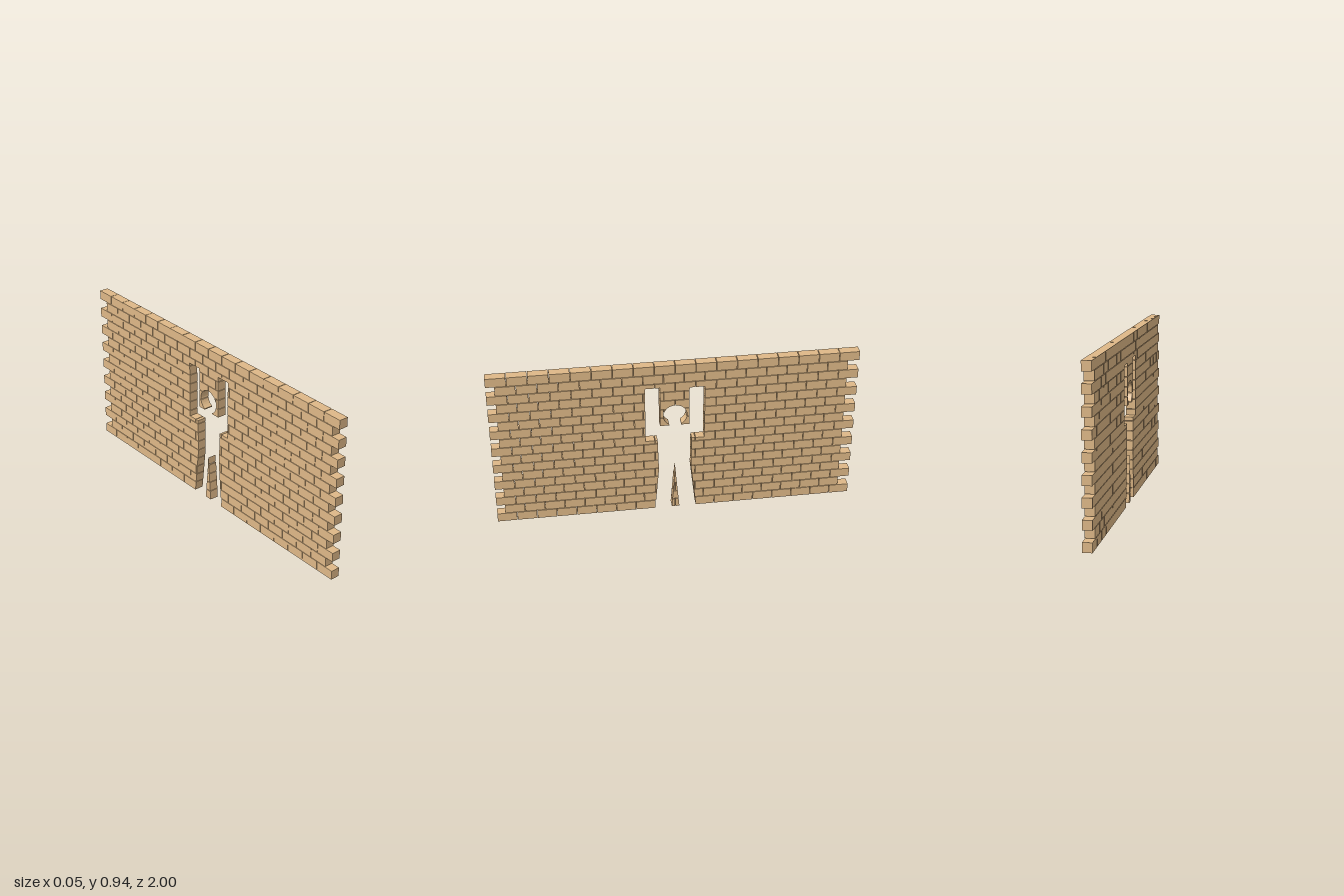
import * as THREE from 'three';

const DEPTH = 0.052, BRICK_H = 0.052, ROW = 0.0552, GAP = 0.003, ROWS = 17;
const HEAD_Y = 0.618, HEAD_R = 0.065, NECK = 0.033;
const CROTCH = 0.265, HIP = 0.462, SHOULDER = 0.556, HEAD_TOP = HEAD_Y + HEAD_R;
const ARM_L = 0.80, ARM_R = 0.79;
const lerp = THREE.MathUtils.lerp;

// Heights at which the outline of the opening changes
const levels = [CROTCH, HIP, SHOULDER, ARM_R, ARM_L];
for (let i = 0; i <= 18; i++) {
  const y = HEAD_Y - HEAD_R * Math.cos(Math.PI * i / 18);
  if (y > SHOULDER) levels.push(y);
}
levels.sort((a, b) => a - b);

// Open spans [zMin, zMax] of the figure-shaped gap at height y, within the band around mid
function openings(y, mid) {
  if (mid < CROTCH) {
    const t = 1 - y / CROTCH;
    return [[lerp(-0.089, -0.118, t), -0.024 * t], [0.019 * t, lerp(0.091, 0.113, t)]];
  }
  if (mid < HIP) {
    const t = (y - CROTCH) / (HIP - CROTCH);
    return [[lerp(-0.089, -0.091, t), lerp(0.091, 0.097, t)]];
  }
  if (mid < SHOULDER) return [[-0.161, 0.163]];
  const spans = [];
  if (mid < ARM_R) spans.push([-0.161, -0.078]);
  if (mid < HEAD_TOP) {
    let w = Math.sqrt(Math.max(0, HEAD_R ** 2 - (y - HEAD_Y) ** 2));
    if (mid < HEAD_Y) w = Math.max(w, NECK);
    spans.push([-w, w]);
  }
  if (mid < ARM_L) spans.push([0.083, 0.163]);
  return spans;
}

// Solid intervals left between z0 and z1 once the openings are removed
function solids(z0, z1, y, mid) {
  const clamp = z => Math.min(z1, Math.max(z0, z));
  const edges = [z0, ...openings(y, mid).flat().map(clamp), z1];
  const out = [];
  for (let i = 0; i < edges.length; i += 2) out.push([edges[i], edges[i + 1]]);
  return out;
}

// Cut one brick into the outlines that remain around the opening
function brickOutlines(z0, z1, y0, y1) {
  const ys = [y0, ...levels.filter(y => y > y0 + 1e-4 && y < y1 - 1e-4), y1];
  const pieces = [];
  let open = [];
  for (let i = 0; i < ys.length - 1; i++) {
    const lo = ys[i], hi = ys[i + 1], mid = (lo + hi) / 2;
    const bottom = solids(z0, z1, lo, mid), top = solids(z0, z1, hi, mid);
    const next = [];
    bottom.forEach(([a0, b0], k) => {
      const [a1, b1] = top[k];
      if (Math.max(b0 - a0, b1 - a1) < 0.002) return;
      // Join onto the piece directly below when they touch
      const j = open.findIndex(p => Math.min(p.b, b0) - Math.max(p.a, a0) > 0.001);
      let p = j >= 0 ? open.splice(j, 1)[0] : null;
      if (!p) {
        p = { left: [], right: [] };
        pieces.push(p);
      }
      p.left.push([a0, lo], [a1, hi]);
      p.right.push([b0, lo], [b1, hi]);
      p.a = a1;
      p.b = b1;
      next.push(p);
    });
    open = next;
  }
  return pieces.map(p => {
    const pts = [...p.right, ...p.left.reverse()];
    return pts.filter((q, i) => {
      const r = pts[(i + 1) % pts.length];
      return Math.hypot(q[0] - r[0], q[1] - r[1]) > 1e-5;
    });
  });
}

// Extrude an outline drawn in (z, y) through the thickness of the wall
function brickGeometry(points) {
  const shape = new THREE.Shape(points.map(([z, y]) => new THREE.Vector2(z, y)));
  const geo = new THREE.ExtrudeGeometry(shape, { depth: DEPTH, bevelEnabled: false });
  return geo.translate(0, 0, -DEPTH / 2).rotateY(-Math.PI / 2);
}

export function createModel() {
  const wall = new THREE.Group();
  wall.name = 'brickWall';
  const material = new THREE.MeshStandardMaterial({ color: 0xdeb887 });

  // Running bond: long courses alternate with shorter, staggered ones
  for (let r = 0; r < ROWS; r++) {
    const course = new THREE.Group();
    course.name = `course${r + 1}`;
    const staggered = r % 2 === 1;
    const count = staggered ? 17 : 18;
    const start = staggered ? -0.938 : -1;
    const end = staggered ? 0.953 : 1;
    const pitch = (end - start + GAP) / count;
    for (let i = 0; i < count; i++) {
      const z = start + i * pitch, y = r * ROW;
      for (const outline of brickOutlines(z, z + pitch - GAP, y, y + BRICK_H)) {
        const brick = new THREE.Mesh(brickGeometry(outline), material);
        brick.name = 'brick';
        course.add(brick);
      }
    }
    wall.add(course);
  }
  return wall;
}
